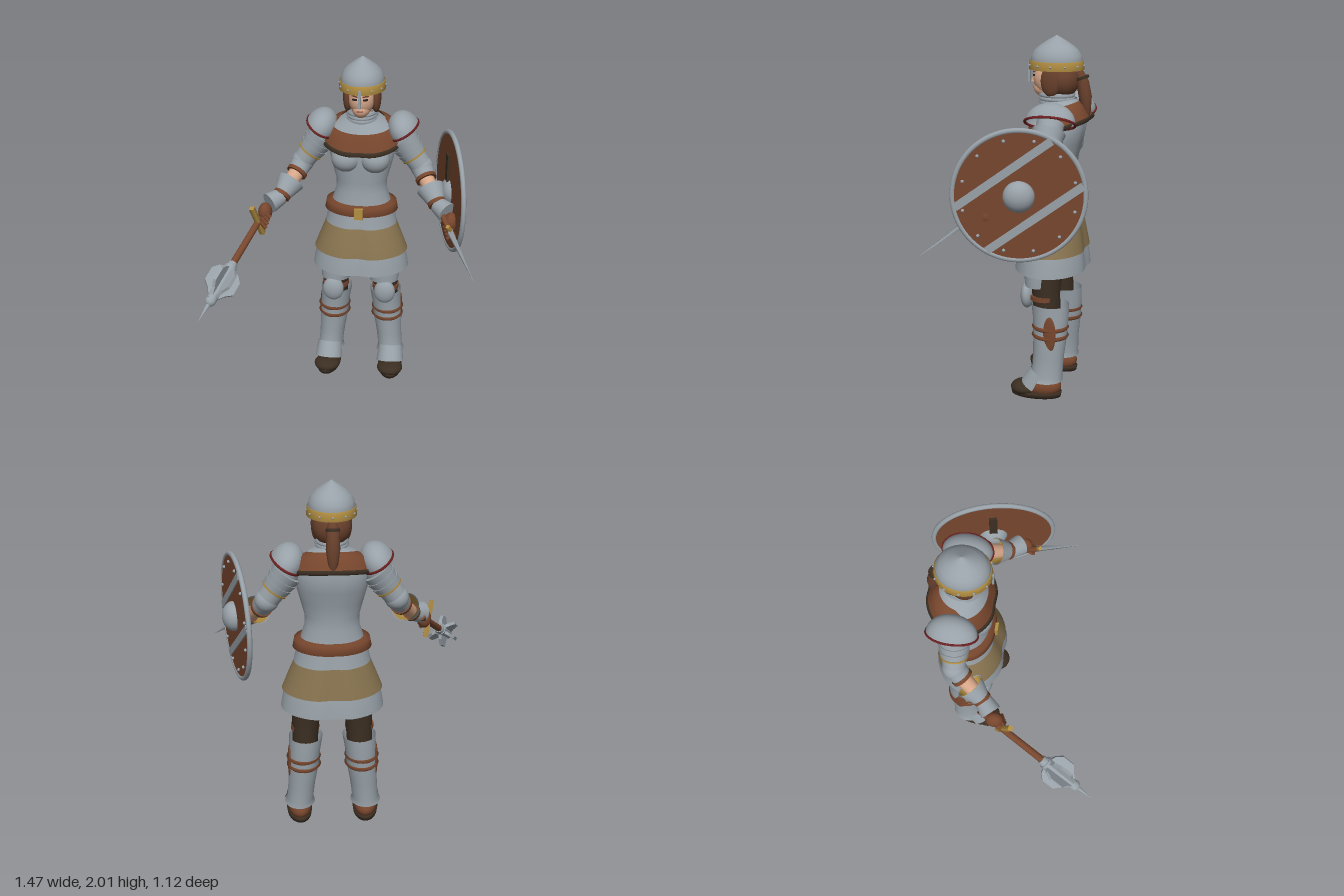
import * as THREE from 'three';

const V = (x, y, z) => new THREE.Vector3(x, y, z);
const UP = V(0, 1, 0);

function createMaterials() {
  const colours = {
    steel: 0x98a1a8, leather: 0x77462d, darkLeather: 0x3b2e22, khaki: 0x887450, gold: 0xb38f42,
    skin: 0xd6a688, hair: 0x68402c, redTrim: 0x6c2020, black: 0x29221f, lips: 0xa8635a,
  };
  const mats = {};
  for (const [name, color] of Object.entries(colours)) {
    mats[name] = new THREE.MeshStandardMaterial({ color, side: THREE.DoubleSide });
    mats[name].name = name;
  }
  return mats;
}

// Smooth skin over rings [y, rx, rz, cz, cx], bottom to top; dent pinches the centre line, tilt slopes the rings
function loft(rings, { dent = 0, tilt = 0, seg = 48 } = {}) {
  const pos = [], idx = [];
  rings.forEach(([y, rx, rz, cz = 0, cx = 0], i) => {
    for (let j = 0; j < seg; j++) {
      const a = (j / seg) * Math.PI * 2, s = Math.sin(a);
      const k = 1 - dent * Math.exp(-((s / 0.22) ** 2));
      const z = Math.cos(a) * rz * k;
      pos.push(cx + s * rx, y - tilt * z, cz + z);
      if (i === rings.length - 1) continue;
      const n = (j + 1) % seg, p = i * seg + j, q = i * seg + n;
      idx.push(p, q, q + seg, p, q + seg, p + seg);
    }
  });
  const g = new THREE.BufferGeometry();
  g.setAttribute('position', new THREE.Float32BufferAttribute(pos, 3));
  g.setIndex(idx);
  g.computeVertexNormals();
  return g;
}

export function createModel() {
  const M = createMaterials();
  const model = new THREE.Group();
  model.name = 'armouredWarrior';
  const group = (name, parent, p = V(0, 0, 0)) => {
    const g = new THREE.Group();
    g.name = name; g.position.copy(p); parent.add(g);
    return g;
  };
  const add = (parent, name, geo, mat, p) => {
    const m = new THREE.Mesh(geo, mat);
    m.name = name; if (p) m.position.copy(p);
    parent.add(m);
    return m;
  };
  const ball = (parent, name, mat, p, rx, ry = rx, rz = rx) =>
    add(parent, name, new THREE.SphereGeometry(1, 28, 18).scale(rx, ry, rz), mat, p);
  const box = (parent, name, mat, p, w, h, d) => add(parent, name, new THREE.BoxGeometry(w, h, d), mat, p);
  // Tapered rod from a to b
  const limb = (parent, name, mat, a, b, ra, rb = ra, open = false, seg = 24) => {
    const d = b.clone().sub(a);
    const m = add(parent, name, new THREE.CylinderGeometry(rb, ra, d.length(), seg, 1, open), mat, a.clone().add(b).multiplyScalar(0.5));
    m.quaternion.setFromUnitVectors(UP, d.normalize());
    return m;
  };

  const body = group('body', model, V(0.06, 0, -0.28));

  // Torso armour
  add(body, 'breastplate', loft([[1.08, 0.18, 0.13], [1.15, 0.168, 0.122], [1.21, 0.148, 0.113], [1.27, 0.147, 0.112],
    [1.35, 0.168, 0.122], [1.43, 0.188, 0.135, -0.01], [1.52, 0.195, 0.142, -0.02], [1.6, 0.16, 0.12, -0.02]], { dent: 0.05 }), M.steel);
  for (const s of [-1, 1]) ball(body, 'bust', M.steel, V(s * 0.083, 1.42, 0.075), 0.085, 0.08, 0.083);
  add(body, 'leatherYoke', loft([[1.52, 0.228, 0.18, -0.015], [1.56, 0.215, 0.16, -0.015], [1.6, 0.185, 0.14, -0.015],
    [1.625, 0.13, 0.115, -0.015]], { dent: 0.06, tilt: 0.28 }), M.leather);
  add(body, 'yokeTrim', loft([[1.505, 0.229, 0.18, -0.015], [1.513, 0.236, 0.188, -0.015], [1.528, 0.233, 0.184, -0.015],
    [1.53, 0.224, 0.175, -0.015]], { dent: 0.06, tilt: 0.28 }), M.darkLeather);
  add(body, 'collar', loft([[1.598, 0.168, 0.135, -0.01], [1.63, 0.125, 0.115, -0.01], [1.645, 0.095, 0.105, -0.01],
    [1.655, 0.088, 0.1, -0.01]], { tilt: 0.12 }), M.steel);
  for (const y of [1.645, 1.665, 1.685])
    add(body, 'gorgetRing', loft([[y - 0.012, 0.082, 0.095], [y, 0.09, 0.1], [y + 0.012, 0.078, 0.09]]), M.steel);

  // Belt and skirt
  add(body, 'belt', loft([[1.078, 0.195, 0.14], [1.085, 0.214, 0.16], [1.135, 0.205, 0.155], [1.142, 0.17, 0.125]], { dent: 0.02 }), M.leather);
  box(body, 'buckle', M.gold, V(0, 1.108, 0.162), 0.05, 0.066, 0.018);
  const skirt = { dent: 0.1, seg: 64 };
  add(body, 'skirtTop', loft([[1.0, 0.21, 0.157], [1.05, 0.199, 0.148], [1.1, 0.193, 0.14]], skirt), M.steel);
  add(body, 'skirtCloth', loft([[0.83, 0.277, 0.2, 0.01], [0.9, 0.25, 0.185, 0.008], [1.0, 0.21, 0.157]], skirt), M.khaki);
  add(body, 'skirtHem', loft([[0.72, 0.285, 0.207, 0.01], [0.78, 0.275, 0.2, 0.01], [0.84, 0.262, 0.188, 0.01]], skirt), M.steel);

  // Head
  const head = group('head', body);
  ball(head, 'face', M.skin, V(0, 1.765, 0.035), 0.073, 0.095, 0.095);
  ball(head, 'jaw', M.skin, V(0, 1.715, 0.065), 0.05, 0.05, 0.065);
  limb(head, 'neck', M.skin, V(0, 1.64, 0), V(0, 1.74, 0.01), 0.055);
  limb(head, 'nose', M.skin, V(0, 1.748, 0.133), V(0, 1.8, 0.118), 0.014, 0.006);
  box(head, 'mouth', M.lips, V(0, 1.718, 0.127), 0.036, 0.009, 0.008);
  for (const s of [-1, 1]) {
    const eye = box(head, 'eye', M.black, V(s * 0.03, 1.785, 0.122), 0.026, 0.009, 0.009);
    eye.rotation.y = s * 0.35;
    const brow = box(head, 'brow', M.hair, V(s * 0.031, 1.804, 0.12), 0.034, 0.006, 0.009);
    brow.rotation.set(0, s * 0.35, s * 0.15);
    ball(head, 'sideHair', M.hair, V(s * 0.08, 1.765, 0.015), 0.027, 0.085, 0.055);
  }
  ball(head, 'backHair', M.hair, V(0, 1.765, -0.035), 0.1, 0.1, 0.085);
  add(head, 'ponytail', loft([[1.56, 0.006, 0.006, -0.17], [1.6, 0.025, 0.022, -0.165], [1.68, 0.037, 0.036, -0.155],
    [1.76, 0.034, 0.034, -0.14], [1.81, 0.024, 0.026, -0.12], [1.835, 0.008, 0.01, -0.1]], { seg: 16 }), M.hair);
  limb(head, 'hairTie', M.darkLeather, V(0, 1.77, -0.14), V(0, 1.785, -0.135), 0.037);

  // Helmet
  const helmet = group('helmet', head, V(0, 0, 0.005));
  helmet.scale.z = 1.15;
  const dome = [[0.12, 1.82], [0.122, 1.865], [0.117, 1.895], [0.1, 1.925], [0.076, 1.947], [0.04, 1.974], [0, 2]];
  add(helmet, 'helmetDome', new THREE.LatheGeometry(dome.map(p => new THREE.Vector2(...p)), 48), M.steel);
  add(helmet, 'helmetBand', loft([[1.82, 0.12, 0.12], [1.82, 0.131, 0.131], [1.865, 0.127, 0.127], [1.867, 0.12, 0.12]]), M.gold);
  for (let i = 0; i < 12; i++) {
    const a = (i / 12) * Math.PI * 2;
    ball(helmet, 'bandRivet', M.steel, V(Math.sin(a) * 0.131, 1.842, Math.cos(a) * 0.131), 0.006);
  }
  box(helmet, 'nasalGuard', M.steel, V(0, 1.795, 0.131), 0.016, 0.1, 0.009);

  // Arms and legs, one of each per side
  for (const s of [-1, 1]) {
    const P = (x, y, z) => V(s * x, y, z);
    const arm = group(s > 0 ? 'leftArm' : 'rightArm', body);
    const shoulder = P(0.2, 1.56, -0.02), elbow = P(0.345, 1.355, -0.005), bend = P(0.375, 1.3, 0.04);
    const wrist = P(0.455, 1.19, 0.17), hand = P(0.53, 1.14, 0.235);
    limb(arm, 'sleeve', M.steel, shoulder, elbow, 0.075, 0.062);
    ball(arm, 'elbowPlate', M.steel, elbow, 0.066);
    limb(arm, 'forearmPlate', M.steel, elbow, bend, 0.064, 0.055);
    [0.2, 0.36, 0.52].forEach((t, i) => limb(arm, 'armLame', M.steel, shoulder.clone().lerp(elbow, t),
      shoulder.clone().lerp(elbow, t + 0.17), 0.09 - i * 0.004, 0.08 - i * 0.004));
    limb(arm, 'armBuckle', M.gold, shoulder.clone().lerp(elbow, 0.67), shoulder.clone().lerp(elbow, 0.71), 0.077, 0.075);
    const along = (t) => bend.clone().lerp(wrist, t);
    limb(arm, 'elbowStrap', M.leather, along(-0.06), along(0.05), 0.061);
    limb(arm, 'forearm', M.skin, bend, wrist, 0.046, 0.035);
    limb(arm, 'gauntletCuff', M.steel, along(0.35), along(0.85), 0.08, 0.05, true);
    limb(arm, 'cuffLining', M.gold, along(0.36), along(0.85), 0.073, 0.044, true);
    limb(arm, 'wristStrap', M.leather, along(0.82), along(0.94), 0.052);
    limb(arm, 'handPlate', M.steel, along(0.94), wrist.clone().lerp(hand, 0.7).add(V(0, 0.02, 0)), 0.048, 0.06);
    ball(arm, 'glove', M.leather, hand.clone().add(V(0, -0.012, 0)), 0.04, 0.055, 0.05);
    for (let i = 0; i < 4; i++) {
      const a = P(0.53 + i * 0.007, 1.15 - i * 0.02, 0.265 + i * 0.006);
      limb(arm, 'finger', M.leather, a, a.clone().add(P(-0.035, -0.04, 0.008)), 0.014, 0.011, false, 10);
    }

    // Tilted shoulder dome with a red rim
    const pauldron = group('pauldron', arm, P(0.24, 1.568, -0.025));
    pauldron.rotation.z = s * 0.55;
    add(pauldron, 'pauldronDome', new THREE.SphereGeometry(1, 36, 14, 0, Math.PI * 2, 0, Math.PI / 2).scale(0.09, 0.11, 0.135), M.steel);
    add(pauldron, 'pauldronRim', new THREE.TorusGeometry(1, 0.055, 8, 40).rotateX(Math.PI / 2).scale(0.09, 0.13, 0.135), M.redTrim);

    const leg = group(s > 0 ? 'leftLeg' : 'rightLeg', body);
    const side = (rings) => loft(rings.map(([y, rx, rz, cz, cx]) => [y, rx, rz, cz, s * cx]), { seg: 32 });
    add(leg, 'trousers', side([[0.45, 0.07, 0.075, 0, 0.155], [0.6, 0.075, 0.078, 0.01, 0.15], [0.72, 0.085, 0.085, 0.01, 0.14],
      [0.95, 0.1, 0.1, 0, 0.11]]), M.darkLeather);
    add(leg, 'thighPlate', side([[0.64, 0.086, 0.078, 0.052, 0.145], [0.72, 0.097, 0.085, 0.05, 0.137], [0.8, 0.1, 0.088, 0.045, 0.13]]), M.steel);
    ball(leg, 'kneePlate', M.steel, P(0.155, 0.58, 0.115), 0.063, 0.077, 0.037);
    limb(leg, 'kneeStrap', M.leather, P(0.153, 0.565, 0.02), P(0.153, 0.59, 0.02), 0.08);
    add(leg, 'greave', side([[0.1, 0.087, 0.1, 0, 0.19], [0.13, 0.074, 0.088, -0.01, 0.187], [0.24, 0.077, 0.087, -0.015, 0.177],
      [0.36, 0.086, 0.095, -0.02, 0.165], [0.46, 0.088, 0.1, -0.02, 0.157], [0.54, 0.094, 0.106, -0.014, 0.15]]), M.steel);
    for (const y of [0.36, 0.41])
      add(leg, 'calfStrap', side([[y - 0.012, 0.086, 0.096, -0.02, 0.164], [y, 0.097, 0.104, -0.02, 0.164], [y + 0.012, 0.088, 0.098, -0.02, 0.162]]), M.leather);
    ball(leg, 'calfPatch', M.leather, P(0.243, 0.385, -0.035), 0.012, 0.105, 0.036);

    // Boot with a steel instep plate
    const boot = group('boot', leg, P(0.19, 0, 0));
    boot.rotation.y = s * 0.06;
    add(boot, 'sole', loft([[0, 0.001, 0.001, 0.05], [0, 0.07, 0.14, 0.05], [0.028, 0.074, 0.146, 0.05], [0.03, 0.05, 0.12, 0.05]]), M.darkLeather);
    ball(boot, 'toeCap', M.darkLeather, V(0, 0.04, 0.118), 0.079, 0.039, 0.078);
    ball(boot, 'upper', M.leather, V(0, 0.06, 0.015), 0.066, 0.065, 0.108);
    const instep = add(boot, 'instepPlate', new THREE.CylinderGeometry(0.073, 0.084, 0.1, 28, 1, true, -Math.PI / 2, Math.PI), M.steel, V(0, 0.095, 0.035));
    instep.rotation.x = -0.45;
  }

  // Round shield, built facing +z then turned outward
  const shield = group('shield', model, V(0.575, 1.24, -0.22));
  shield.rotation.y = 1.818;
  add(shield, 'shieldBoard', new THREE.CylinderGeometry(0.338, 0.338, 0.018, 64).rotateX(Math.PI / 2), M.leather);
  add(shield, 'shieldRim', new THREE.TorusGeometry(0.338, 0.014, 10, 72), M.steel);
  ball(shield, 'shieldBoss', M.steel, V(0, 0, 0.01), 0.082, 0.082, 0.065);
  const tilt = 0.62;
  for (const k of [-1, 1]) {
    const stripe = box(shield, 'shieldStripe', M.steel, V(-Math.sin(tilt) * k * 0.14, Math.cos(tilt) * k * 0.14, 0.011), 0.6, 0.042, 0.008);
    stripe.rotation.z = tilt;
  }
  for (let i = 0; i < 12; i++) {
    const a = ((i + 0.5) / 12) * Math.PI * 2;
    ball(shield, 'shieldRivet', M.steel, V(Math.cos(a) * 0.295, Math.sin(a) * 0.295, 0.012), 0.009);
  }
  box(shield, 'shieldStrap', M.darkLeather, V(0, 0, -0.02), 0.045, 0.45, 0.016);

  // Dagger in the left hand
  const grip = V(0.56, 1.14, -0.02), tip = V(0.735, 0.925, 0.265);
  limb(model, 'daggerGrip', M.leather, grip.clone().lerp(tip, -0.12), grip.clone().lerp(tip, 0.18), 0.016);
  limb(model, 'daggerGuard', M.gold, V(0.575, 1.145, 0.05), V(0.615, 1.05, 0.0), 0.014, 0.014, false, 4);
  limb(model, 'daggerBlade', M.steel, grip.clone().lerp(tip, 0.15), tip, 0.02, 0.0005, false, 4);

  // Flanged mace in the right hand
  const mace = group('mace', model, V(-0.5, 1.09, 0));
  mace.quaternion.setFromUnitVectors(UP, V(-0.235, -0.35, 0.555).normalize());
  limb(mace, 'maceShaft', M.leather, V(0, -0.16, 0), V(0, 0.36, 0), 0.018, 0.02);
  limb(mace, 'maceCollar', M.steel, V(0, 0.3, 0), V(0, 0.34, 0), 0.024, 0.034);
  limb(mace, 'maceCore', M.steel, V(0, 0.33, 0), V(0, 0.55, 0), 0.036, 0.03);
  const flange = new THREE.Shape([[0, 0.335], [0.06, 0.355], [0.09, 0.39], [0.09, 0.47], [0.055, 0.5], [0.03, 0.535], [0, 0.535]]
    .map(p => new THREE.Vector2(...p)));
  for (let i = 0; i < 6; i++) {
    const blade = add(mace, 'maceFlange', new THREE.ExtrudeGeometry(flange, { depth: 0.018, bevelEnabled: false }).translate(0, 0, -0.009), M.steel);
    blade.rotation.y = (i * Math.PI) / 3;
  }
  ball(mace, 'maceBall', M.steel, V(0, 0.56, 0), 0.031);
  limb(mace, 'maceSpike', M.steel, V(0, 0.575, 0), V(0, 0.697, 0), 0.014, 0.0005, false, 12);
  limb(model, 'maceGuard', M.gold, V(-0.525, 1.195, 0.055), V(-0.485, 1.0, -0.025), 0.019, 0.019, false, 4);

  return model;
}
